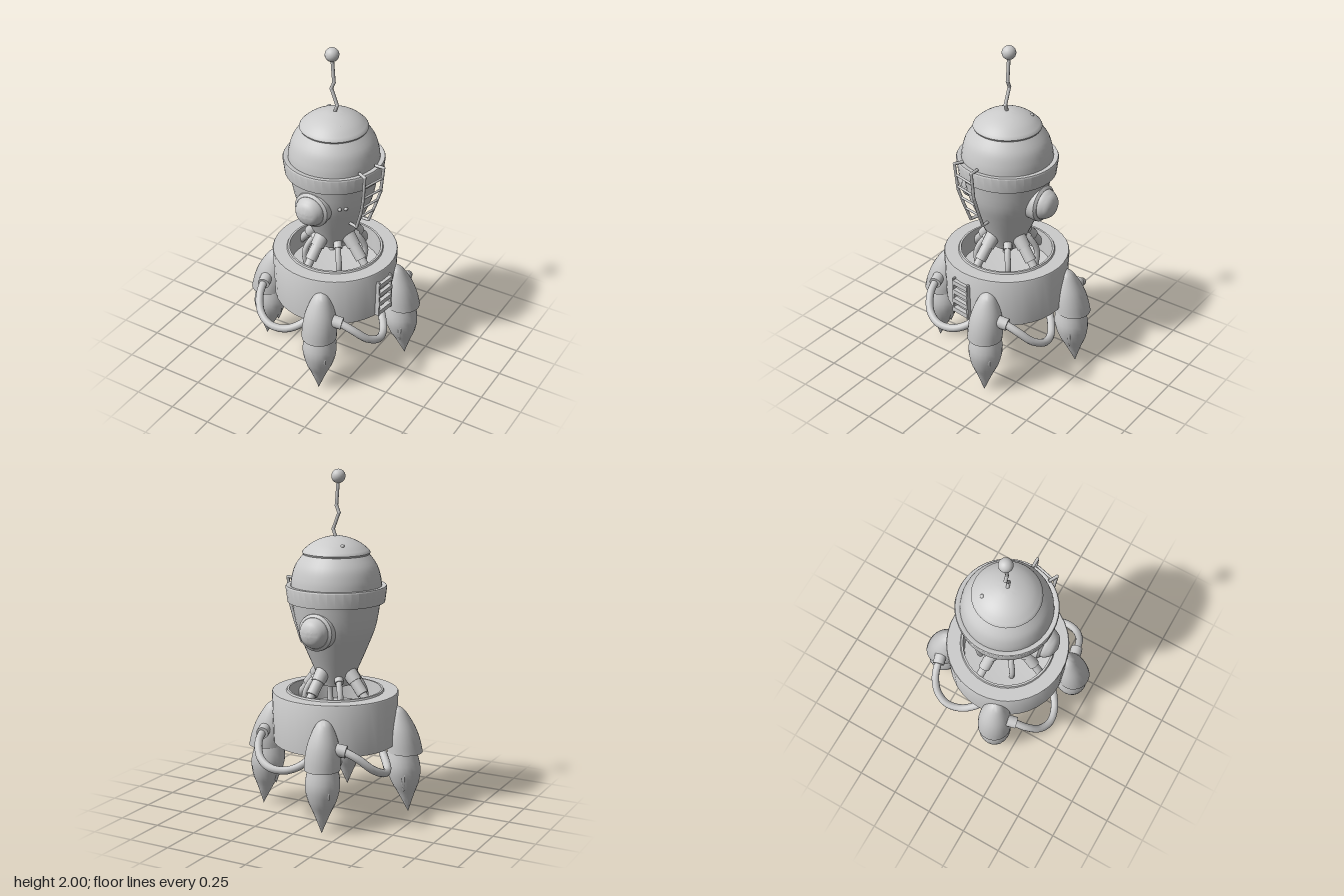
import * as THREE from 'three';
import { toCreasedNormals } from 'three/addons/utils/BufferGeometryUtils.js';

const grey = new THREE.MeshStandardMaterial({ color: 0xcccccc });
const V = (x, y, z) => new THREE.Vector3(x, y, z);

function add(parent, name, geometry) {
  const mesh = new THREE.Mesh(geometry, grey);
  mesh.name = name;
  parent.add(mesh);
  return mesh;
}

function group(parent, name) {
  const g = new THREE.Group();
  g.name = name;
  parent.add(g);
  return g;
}

// Smooth profile through a few [radius, height] points
function smooth(points, n = 14) {
  const curve = new THREE.SplineCurve(points.map(p => new THREE.Vector2(...p)));
  return curve.getPoints(n).map(p => [Math.max(0, p.x), p.y]);
}

function lathe(profile, sides = 32) {
  const g = new THREE.LatheGeometry(profile.map(p => new THREE.Vector2(...p)), sides);
  return toCreasedNormals(g, 0.6);
}

// Shift each height of a turned shape along z
function lean(geometry, offset) {
  const p = geometry.attributes.position;
  for (let i = 0; i < p.count; i++) p.setZ(i, p.getZ(i) + offset(p.getY(i)));
  geometry.computeBoundingSphere();
  return geometry;
}

function hose(parent, name, points, radius, segments = 32) {
  return add(parent, name, new THREE.TubeGeometry(new THREE.CatmullRomCurve3(points), segments, radius, 10));
}

function rod(parent, name, a, b, radius, radiusB = radius, sides = 12) {
  const m = add(parent, name, new THREE.CylinderGeometry(radiusB, radius, a.distanceTo(b), sides));
  m.position.copy(a).lerp(b, 0.5);
  m.quaternion.setFromUnitVectors(V(0, 1, 0), b.clone().sub(a).normalize());
  return m;
}

function ball(parent, name, radius, x, y, z) {
  add(parent, name, new THREE.SphereGeometry(radius, 20, 14)).position.set(x, y, z);
}

function buildEngine(parent) {
  const engine = group(parent, 'engine');
  const pod = group(engine, 'pod');
  pod.rotation.y = 0.318;

  // Pointed shell leaning in towards the base
  const shell = [[0, 0.385], [0.085, 0.385], [0.09, 0.37], [0.102, 0.37],
    ...smooth([[0.102, 0.38], [0.1, 0.44], [0.088, 0.51], [0.062, 0.58], [0.035, 0.625], [0, 0.645]])];
  add(pod, 'podShell', lean(lathe(shell, 24), y => 0.415 - (y - 0.37) * 0.2));

  // Flame with small side tongues
  const flame = smooth([[0, 0], [0.02, 0.05], [0.05, 0.12], [0.082, 0.19], [0.1, 0.28], [0.083, 0.385]], 18);
  add(pod, 'flame', lean(lathe(flame, 20), y => 0.395 + (0.37 - y) * 0.11));
  for (let i = 0; i < 3; i++) {
    const a = 0.6 + i * Math.PI * 2 / 3;
    const tongue = smooth([[0, -0.09], [0.012, -0.06], [0.028, -0.01], [0.03, 0.03], [0, 0.08]], 10);
    add(pod, 'flameTongue', lathe(tongue, 10))
      .position.set(Math.sin(a) * 0.065, 0.23, 0.41 + Math.cos(a) * 0.065);
  }

  // Fuel hose from the pod to the underside of the base
  hose(engine, 'fuelHose', [V(0.2, 0.485, 0.36), V(0.25, 0.475, 0.35), V(0.32, 0.44, 0.33), V(0.385, 0.375, 0.28),
    V(0.415, 0.335, 0.2), V(0.395, 0.325, 0.11), V(0.35, 0.35, 0.04), V(0.31, 0.39, 0), V(0.29, 0.44, -0.01)], 0.023);
  rod(engine, 'hoseCollar', V(0.2, 0.485, 0.36), V(0.255, 0.475, 0.345), 0.036, 0.036, 16);
}

function buildBase(parent) {
  const base = group(parent, 'base');
  add(base, 'baseRing', lathe([[0, 0.5], [0.2, 0.48], [0.25, 0.42], [0.36, 0.42], [0.369, 0.715], [0.365, 0.722],
    [0.285, 0.722], [0.28, 0.732], [0.268, 0.732], [0.262, 0.6], [0, 0.57]], 36));

  // Rung panel on the left wall
  const steps = group(base, 'wallSteps');
  steps.position.set(0.362, 0, 0.058);
  steps.rotation.y = -0.14;
  for (const z of [-0.057, 0.057]) {
    add(steps, 'stepRail', new THREE.BoxGeometry(0.03, 0.235, 0.01)).position.set(0, 0.543, z);
  }
  for (let i = 0; i < 4; i++) {
    add(steps, 'step', new THREE.BoxGeometry(0.035, 0.028, 0.12)).position.set(0.002, 0.45 + i * 0.062, 0);
  }
}

function buildSupports(parent) {
  for (let i = 0; i < 4; i++) {
    const support = group(parent, 'support');
    support.rotation.y = i * Math.PI / 2;
    const at = t => V(-0.02 - 0.04 * t, 0.88 - 0.26 * t, 0.075 + 0.22 * t);
    rod(support, 'strutSocket', at(0), at(0.33), 0.045, 0.04, 16);
    rod(support, 'strutSleeve', at(0.33), at(0.58), 0.034, 0.034, 16);
    rod(support, 'strutFoot', at(0.58), at(1), 0.024, 0.024, 16);
    // Cable drooping into the basin between struts
    hose(support, 'cable', [V(0.06, 0.82, 0.07), V(0.085, 0.78, 0.11), V(0.11, 0.7, 0.14), V(0.1, 0.57, 0.13)], 0.018, 16);
    rod(support, 'cableCollar', V(0.05, 0.83, 0.06), V(0.08, 0.79, 0.1), 0.026);
  }
}

function buildCabin(parent) {
  const cabin = group(parent, 'cabin');
  cabin.position.x = -0.007;
  const hull = smooth([[0.085, 0.76], [0.13, 0.86], [0.19, 1.0], [0.23, 1.11], [0.254, 1.25]]);
  add(cabin, 'hull', lathe([[0, 0.75], ...hull], 40));
  add(cabin, 'belt', lathe([[0.245, 1.248], [0.28, 1.248], [0.291, 1.335], [0.287, 1.343], [0.265, 1.343], [0.25, 1.335]], 40));
  add(cabin, 'dome', lathe(smooth([[0.262, 1.33], [0.255, 1.39], [0.232, 1.46], [0.18, 1.53]]), 40));
  add(cabin, 'cap', lathe([[0.17, 1.518], [0.19, 1.52], [0.195, 1.53],
    ...smooth([[0.19, 1.54], [0.15, 1.575], [0.1, 1.602], [0.04, 1.62], [0, 1.623]])], 40));
  ball(cabin, 'capRivet', 0.012, -0.093, 1.58, -0.1);
  ball(cabin, 'capRivet', 0.012, 0.087, 1.58, 0.082);

  // Round windows front and back
  for (const side of [0, Math.PI]) {
    const porthole = group(cabin, 'window');
    porthole.rotation.y = side;
    const rim = add(porthole, 'windowRim', lathe([[0.1, 0.15], [0.108, 0.235], [0.106, 0.25], [0.09, 0.262], [0.08, 0.262]], 32));
    const glass = add(porthole, 'windowGlass', lathe(smooth([[0.09, 0.25], [0.083, 0.28], [0.055, 0.315], [0, 0.332]]), 32));
    for (const m of [rim, glass]) {
      m.rotation.x = Math.PI / 2;
      m.position.y = 1.107;
    }
  }
  for (const x of [0.147, 0.173]) {
    ball(cabin, 'hullKnob', 0.011, x, 1.123, Math.sqrt(0.235 ** 2 - x * x));
  }

  // Boarding ladder on the left, hooked over the belt
  const ladder = group(cabin, 'ladder');
  const rails = [
    [V(0.27, 1.36, 0.01), V(0.325, 1.36, 0.01), V(0.308, 1.2, 0.008), V(0.275, 1.1, 0.006), V(0.232, 0.985, 0.005), V(0.18, 0.985, 0.005)],
    [V(0.24, 1.36, 0.13), V(0.288, 1.36, 0.155), V(0.274, 1.2, 0.145), V(0.25, 1.1, 0.125), V(0.212, 0.985, 0.105), V(0.16, 0.985, 0.09)],
  ];
  for (const rail of rails) {
    for (let i = 0; i < 5; i++) {
      rod(ladder, 'ladderRail', rail[i], rail[i + 1], 0.009, 0.009, 8);
      if (i) ball(ladder, 'railJoint', 0.0092, ...rail[i].toArray());
    }
  }
  const railAt = (rail, y) => {
    const k = y > 1.2 ? 1 : y > 1.1 ? 2 : 3;
    return rail[k].clone().lerp(rail[k + 1], (rail[k].y - y) / (rail[k].y - rail[k + 1].y));
  };
  for (const y of [1.29, 1.215, 1.14, 1.065]) {
    rod(ladder, 'ladderRung', railAt(rails[0], y), railAt(rails[1], y), 0.007, 0.007, 8);
  }
}

function buildAntenna(parent) {
  const antenna = group(parent, 'antenna');
  const bends = [V(-0.005, 1.61, 0), V(0.013, 1.66, 0), V(-0.024, 1.755, 0), V(-0.008, 1.795, 0), V(-0.02, 1.95, 0)];
  for (let i = 0; i < 4; i++) {
    rod(antenna, 'antennaRod', bends[i], bends[i + 1], 0.01, 0.01, 8);
    if (i) ball(antenna, 'antennaBend', 0.0105, ...bends[i].toArray());
  }
  ball(antenna, 'antennaBall', 0.04, -0.02, 1.96, 0);
}

export function createModel() {
  const model = new THREE.Group();
  model.name = 'rocketPod';
  buildBase(model);
  buildSupports(model);
  buildCabin(model);
  buildAntenna(model);
  for (let i = 0; i < 4; i++) {
    const quarter = group(model, 'engineMount');
    quarter.rotation.y = i * Math.PI / 2;
    buildEngine(quarter);
  }
  return model;
}
